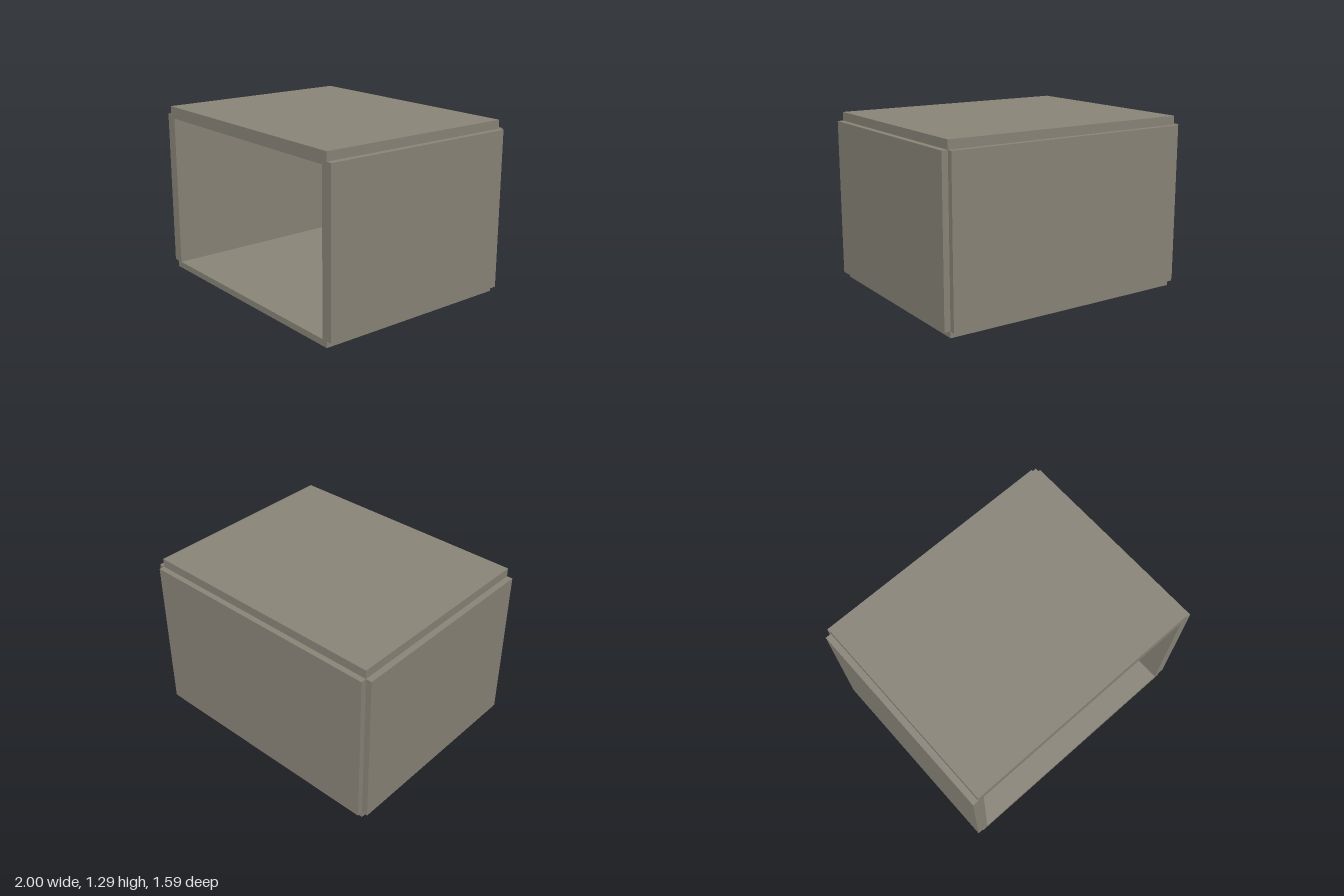
import * as THREE from 'three';

const mat = (name, color, side = THREE.FrontSide) => {
  const m = new THREE.MeshStandardMaterial({ color, side });
  m.name = name;
  return m;
};

export function createModel() {
  const stone = mat('stone grey', 0x8a8579);
  const wood = mat('brown wood', 0x643627);
  const white = mat('pale white', 0xcbcdcc);
  const dark = mat('dark hand', 0x35332e);
  const room = new THREE.Group();
  room.name = 'room';

  const add = (name, geo, m, parent = room) => {
    const mesh = new THREE.Mesh(geo, m);
    mesh.name = name;
    parent.add(mesh);
    return mesh;
  };
  // Box from its minimum and maximum corners
  const box = (name, m, [x0, y0, z0], [x1, y1, z1], parent) => {
    const b = add(name, new THREE.BoxGeometry(x1 - x0, y1 - y0, z1 - z0), m, parent);
    b.position.set((x0 + x1) / 2, (y0 + y1) / 2, (z0 + z1) / 2);
    return b;
  };
  // Cylinder between two points
  const rod = (name, m, a, b, r, parent) => {
    const p = new THREE.Vector3(...a), q = new THREE.Vector3(...b);
    const c = add(name, new THREE.CylinderGeometry(r, r, p.distanceTo(q), 24), m, parent);
    c.position.copy(p).lerp(q, 0.5);
    c.quaternion.setFromUnitVectors(new THREE.Vector3(0, 1, 0), q.sub(p).normalize());
    return c;
  };
  const group = (name) => {
    const g = new THREE.Group();
    g.name = name;
    room.add(g);
    return g;
  };

  // Room shell, open at the front
  box('floor', stone, [-0.955, 0, -0.755], [0.955, 0.047, 0.795]);
  box('ceiling', stone, [-0.955, 1.205, -0.755], [0.955, 1.295, 0.795]);
  box('backWall', stone, [-0.955, 0.047, -0.797], [0.955, 1.23, -0.71]);
  box('leftWall', stone, [0.91, 0.047, -0.755], [1, 1.23, 0.795]);
  box('rightWall', stone, [-1, 0.047, -0.755], [-0.91, 1.23, 0.795]);

  // Desk with a gently sloping writing surface
  const desk = group('desk');
  box('deskTop', stone, [-0.59, 0.45, -0.71], [0.59, 0.475, -0.375], desk);
  const slope = new THREE.Shape([[0.38, 0.475], [0.71, 0.475], [0.71, 0.508]].map((p) => new THREE.Vector2(...p)));
  const surface = add('deskSurface', new THREE.ExtrudeGeometry(slope, { depth: 1.17, bevelEnabled: false }), stone, desk);
  surface.rotation.y = Math.PI / 2;
  surface.position.x = -0.585;
  box('rightPanel', wood, [-0.564, 0.047, -0.71], [-0.532, 0.45, -0.4], desk);
  box('leftPanelLower', wood, [0.527, 0.047, -0.71], [0.555, 0.333, -0.4], desk);
  box('leftPanelUpper', stone, [0.527, 0.333, -0.71], [0.555, 0.45, -0.4], desk);
  box('writingPad', stone, [-0.1, 0.478, -0.57], [0.1, 0.492, -0.45], desk);
  const cup = add('cup', new THREE.CylinderGeometry(0.021, 0.021, 0.047, 20), stone, desk);
  cup.position.set(0.405, 0.517, -0.57);

  // Chair, its back towards the open side
  const chair = group('chair');
  box('seat', wood, [-0.105, 0.255, -0.287], [0.105, 0.275, -0.087], chair);
  for (const z of [-0.11, -0.28]) {
    box('rightLeg', wood, [-0.104, 0.047, z], [-0.083, 0.255, z + 0.02], chair);
    box('leftLegLower', wood, [0.078, 0.047, z], [0.099, 0.177, z + 0.02], chair);
    box('leftLegUpper', stone, [0.078, 0.177, z], [0.099, 0.255, z + 0.02], chair);
  }
  box('rightPost', stone, [-0.104, 0.275, -0.11], [-0.083, 0.535, -0.09], chair);
  box('leftPost', wood, [0.078, 0.275, -0.11], [0.099, 0.535, -0.09], chair);
  for (const [y0, y1] of [[0.488, 0.535], [0.4, 0.428], [0.275, 0.29]])
    box('backSlat', wood, [-0.083, y0, -0.107], [0.078, y1, -0.093], chair);

  // Bent pipe from the ceiling
  const pipe = group('pipe');
  rod('pipeUpper', stone, [-0.185, 1.205, -0.5], [-0.185, 0.775, -0.5], 0.032, pipe);
  rod('pipeLower', stone, [-0.185, 0.775, -0.5], [-0.092, 0.568, -0.48], 0.032, pipe);
  add('pipeElbow', new THREE.SphereGeometry(0.032, 24, 16), stone, pipe).position.set(-0.185, 0.775, -0.5);

  // Jointed arm with an oval head, resting on the desk
  const arm = group('arm');
  const tube = (name, pts, r) => {
    const curve = new THREE.CatmullRomCurve3(pts.map((p) => new THREE.Vector3(...p)));
    add(name, new THREE.TubeGeometry(curve, 24, r, 10), stone, arm);
  };
  tube('armTube', [[-0.1, 0.572, -0.48], [0.06, 0.55, -0.5], [0.12, 0.535, -0.5], [0.17, 0.508, -0.5]], 0.008);
  tube('armCable', [[0.05, 0.55, -0.5], [0.1, 0.53, -0.49], [0.14, 0.505, -0.5], [0.18, 0.505, -0.5]], 0.005);
  const head = add('armHead', new THREE.SphereGeometry(0.055, 24, 16), stone, arm);
  head.scale.set(1, 0.4, 0.7);
  head.position.set(0.2, 0.507, -0.5);

  // Plates and round dials on the walls
  box('wallPlate', white, [-0.363, 0.787, -0.71], [0.357, 0.894, -0.702]);
  box('sidePlate', white, [0.898, 0.885, -0.45], [0.91, 1.025, -0.25]);
  [-0.457, -0.313, -0.169].forEach((x, i) => {
    const dial = group('dial');
    dial.position.set(x, 0.647, -0.705);
    add('dialFace', new THREE.CylinderGeometry(0.053, 0.053, 0.01, 32), i ? white : stone, dial).rotation.x = Math.PI / 2;
    box('dialHand', dark, [-0.003, 0, 0.005], [0.003, 0.04, 0.009], dial);
  });

  // Lantern on the back wall
  const lantern = group('lantern');
  lantern.position.set(-0.73, 0, -0.655);
  box('lanternCore', stone, [-0.037, 0.98, -0.037], [0.037, 1.115, 0.037], lantern);
  box('lanternBase', stone, [-0.05, 0.963, -0.05], [0.05, 0.985, 0.05], lantern);
  box('lanternRim', stone, [-0.05, 1.11, -0.05], [0.05, 1.123, 0.05], lantern);
  for (const x of [-1, 1]) for (const z of [-1, 1]) {
    const post = box('lanternPost', stone, [-0.006, 0.985, -0.006], [0.006, 1.11, 0.006], lantern);
    post.position.x = x * 0.044;
    post.position.z = z * 0.044;
  }
  const roof = add('lanternRoof', new THREE.CylinderGeometry(0.035, 0.083, 0.034, 4, 1).toNonIndexed(), stone, lantern);
  roof.geometry.computeVertexNormals();
  roof.rotation.y = Math.PI / 4;
  roof.position.y = 1.14;
  add('lanternRing', new THREE.TorusGeometry(0.013, 0.004, 8, 20), stone, lantern).position.y = 1.172;

  return room;
}
